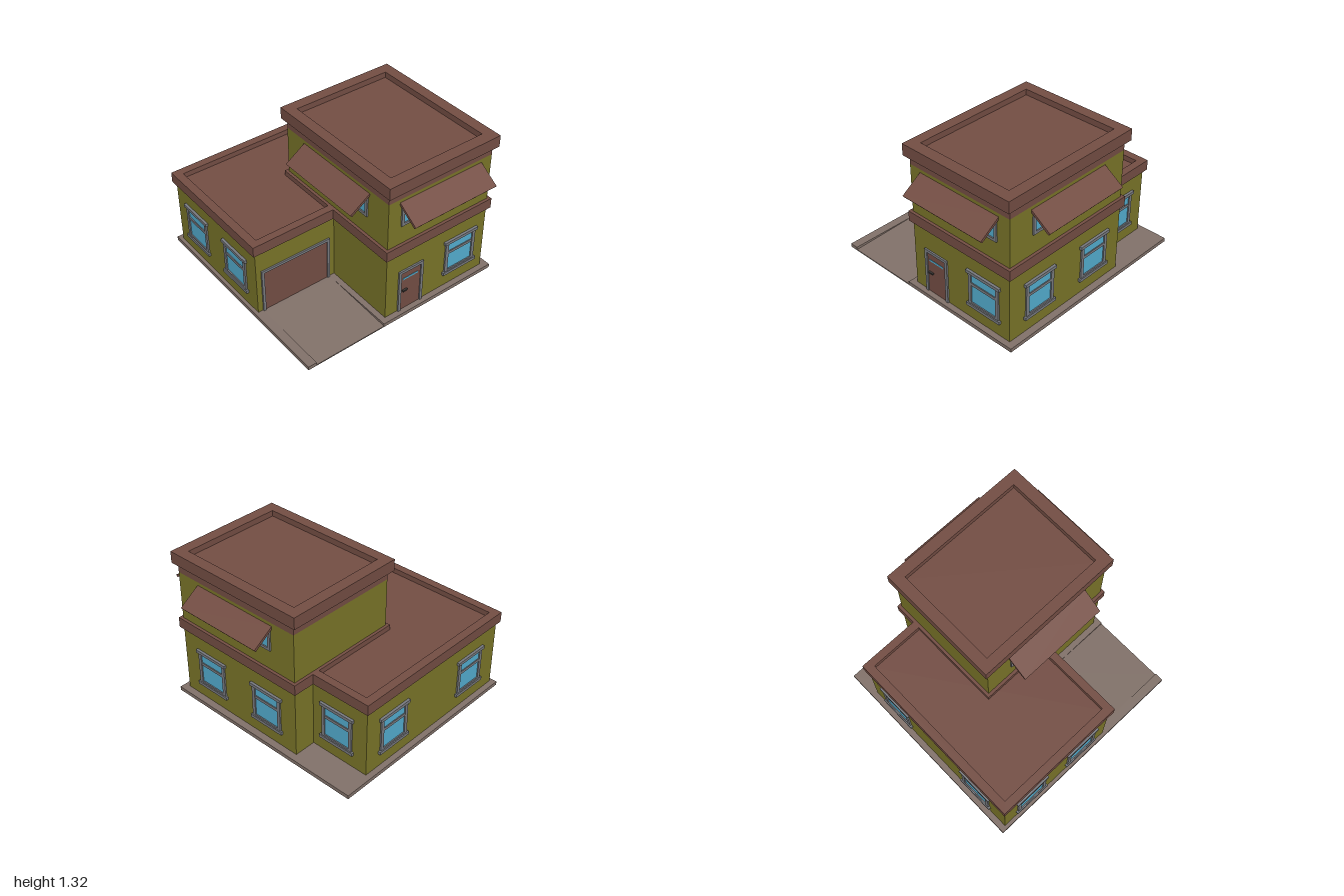
import * as THREE from 'three';

const mat = (name, color) => {
  const m = new THREE.MeshStandardMaterial({ color });
  m.name = name;
  return m;
};

export function createModel() {
  const olive = mat('olive wall', 0x7a7529);
  const brown = mat('brown trim', 0x744e44);
  const grey = mat('grey frame', 0x797b80);
  const blue = mat('blue glass', 0x54aed0);
  const stone = mat('stone paving', 0x82726a);
  const dark = mat('dark handle', 0x3c3836);

  const house = new THREE.Group();
  house.name = 'house';

  const add = (parent, name, geometry, material) => {
    const mesh = new THREE.Mesh(geometry, material);
    mesh.name = name;
    parent.add(mesh);
    return mesh;
  };

  // Box given by its limits along each axis
  const box = (parent, name, material, x0, x1, y0, y1, z0, z1) => {
    const g = new THREE.BoxGeometry(x1 - x0, y1 - y0, z1 - z0);
    g.translate((x0 + x1) / 2, (y0 + y1) / 2, (z0 + z1) / 2);
    return add(parent, name, g, material);
  };

  const polygon = (points) => new THREE.Shape(points.map(([x, y]) => new THREE.Vector2(x, y)));
  const rect = (x0, x1, y0, y1) => [[x0, y0], [x1, y0], [x1, y1], [x0, y1]];
  const extrude = (shape, depth) => new THREE.ExtrudeGeometry(shape, { depth, bevelEnabled: false });

  // Rectangular ring in the local xy plane, standing out along +z
  const ring = (outer, inner, depth) => {
    const shape = polygon(rect(...outer));
    shape.holes.push(polygon(rect(...inner)));
    return extrude(shape, depth);
  };

  // Group on a wall: local +z points out of it
  const onWall = (name, x, z, angle) => {
    const g = new THREE.Group();
    g.name = name;
    g.position.set(x, 0, z);
    g.rotation.y = angle;
    house.add(g);
    return g;
  };

  // Paving with a driveway sloping down to the front
  box(house, 'paving', stone, -0.98, 0.86, 0, 0.033, -1, 0.21);
  box(house, 'drivewayKerb', stone, -0.98, -0.905, 0, 0.033, 0.21, 0.87);
  box(house, 'frontPaving', stone, -0.26, 0.86, 0, 0.033, 0.21, 0.87);
  const ramp = extrude(polygon([[0.21, 0], [0.87, 0], [0.87, 0.01], [0.21, 0.033]]), 0.645);
  ramp.rotateY(-Math.PI / 2);
  ramp.translate(-0.26, 0, 0);
  add(house, 'driveway', ramp, stone);

  // Walls
  box(house, 'wingWalls', olive, -0.95, 0.61, 0.033, 0.65, -0.95, 0.175);
  box(house, 'towerWalls', olive, -0.21, 0.8, 0.033, 1.14, -0.415, 0.82);
  box(house, 'towerBand', brown, -0.21, 0.8, 1.14, 1.23, -0.415, 0.82);
  box(house, 'towerLedge', brown, -0.235, 0.825, 0.63, 0.72, -0.44, 0.845);

  // Flat roofs with a raised parapet; o and i are x0, x1, z0, z1
  const roof = (name, o, i, y0, floor, y1) => {
    const flip = ([x0, x1, z0, z1]) => [x0, x1, -z1, -z0];
    const g = ring(flip(o), flip(i), y1 - y0);
    g.rotateX(-Math.PI / 2);
    g.translate(0, y0, 0);
    add(house, name + 'Parapet', g, brown);
    box(house, name + 'Roof', brown, i[0], i[1], y0, floor, i[2], i[3]);
  };
  roof('wing', [-0.975, 0.635, -0.975, 0.2], [-0.905, 0.57, -0.905, 0.135], 0.63, 0.675, 0.72);
  roof('tower', [-0.24, 0.83, -0.455, 0.86], [-0.15, 0.735, -0.36, 0.76], 1.22, 1.27, 1.32);

  // Ground-floor windows with lintel, sill and crossbar
  const sashWindow = (x, z, angle, half = 0.15) => {
    const w = onWall('window', x, z, angle);
    const h = half - 0.03;
    box(w, 'glass', blue, -h, h, 0.19, 0.46, -0.002, 0.003);
    add(w, 'windowFrame', ring([-half, half, 0.175, 0.47], [-h, h, 0.195, 0.457], 0.013), grey);
    box(w, 'crossbar', grey, -h, h, 0.355, 0.38, 0, 0.011);
    box(w, 'lintel', grey, -half - 0.016, half + 0.016, 0.463, 0.49, 0, 0.022);
    box(w, 'sill', grey, -half - 0.016, half + 0.016, 0.153, 0.18, 0, 0.022);
  };
  const right = Math.PI / 2;
  sashWindow(0.54, 0.82, 0, 0.155);
  for (const z of [0.505, -0.11]) sashWindow(0.8, z, right);
  sashWindow(0.61, -0.66, right);
  for (const z of [-0.11, -0.66]) sashWindow(-0.95, z, -right);
  for (const x of [0.31, -0.62]) sashWindow(x, -0.95, Math.PI);

  // Upper wide windows, each under a sloping awning
  const wideWindow = (x, z, angle) => {
    const w = onWall('upperWindow', x, z, angle);
    box(w, 'glass', blue, -0.36, 0.36, 0.91, 1.07, -0.002, 0.003);
    add(w, 'windowFrame', ring([-0.385, 0.385, 0.89, 1.09], [-0.36, 0.36, 0.913, 1.067], 0.013), grey);
    const g = extrude(polygon([[0, 1.087], [0.163, 0.975], [0.177, 0.992], [0, 1.112]]), 0.8);
    g.rotateY(-Math.PI / 2);
    g.translate(0.4, 0, 0);
    add(w, 'awning', g, brown);
  };
  wideWindow(0.295, 0.82, 0);
  wideWindow(0.8, 0.205, right);
  wideWindow(-0.21, 0.205, -right);

  // Doorway surround, open at the foot
  const surround = (parent, x0, x1, y1, t) => {
    const shape = polygon([[x0, 0.033], [x0 + t, 0.033], [x0 + t, y1 - t], [x1 - t, y1 - t],
      [x1 - t, 0.033], [x1, 0.033], [x1, y1], [x0, y1]]);
    add(parent, 'doorFrame', extrude(shape, 0.014), grey);
  };

  // Garage door
  const garage = onWall('garage', 0, 0.175, 0);
  surround(garage, -0.905, -0.26, 0.435, 0.023);
  box(garage, 'garageDoor', brown, -0.882, -0.283, 0.033, 0.412, -0.002, 0.004);

  // Front door with a slit pane and a handle
  const entry = onWall('frontDoor', 0, 0.82, 0);
  surround(entry, -0.09, 0.155, 0.435, 0.025);
  box(entry, 'door', brown, -0.065, 0.13, 0.033, 0.41, -0.002, 0.004);
  box(entry, 'doorPane', blue, -0.045, 0.105, 0.334, 0.35, 0.002, 0.007);
  box(entry, 'doorHandle', dark, -0.05, -0.005, 0.22, 0.234, 0.002, 0.02);

  return house;
}
